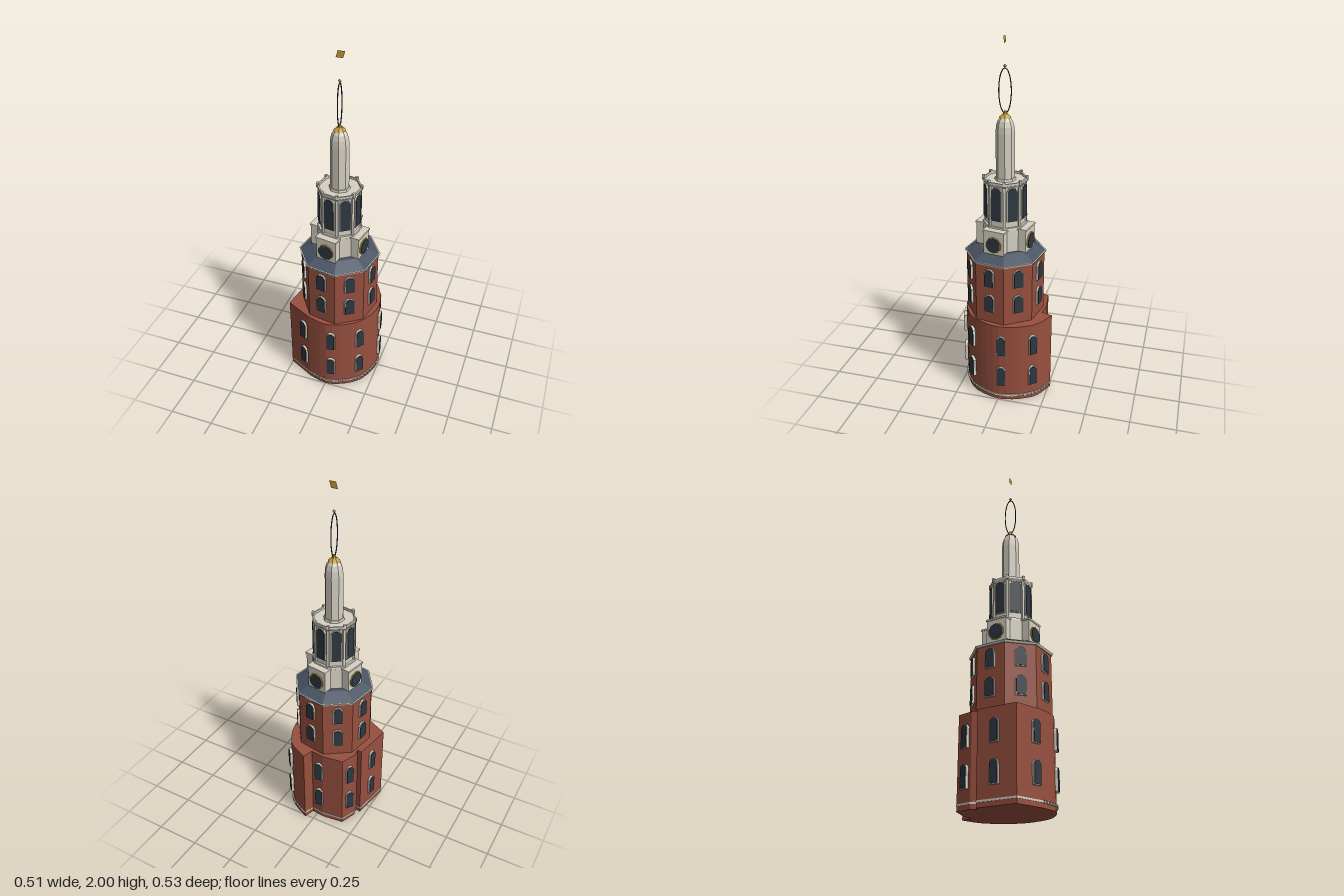
import * as THREE from 'three';

const mat = (color, extra = {}) => new THREE.MeshStandardMaterial({ color, flatShading: true, ...extra });
const BRICK = mat(0x98503f), CREAM = mat(0xd6d1c3), SLATE = mat(0x4a5464),
  PANE = mat(0x2e3842), GOLD = mat(0xc9a03c, { side: THREE.DoubleSide });
const rad = THREE.MathUtils.degToRad;
const CX = 0.01, CZ = 0.02; // tower axis
const FACE = 10;            // direction of one octagon face, from +x towards +z

function add(parent, name, geo, material, x = 0, y = 0, z = 0) {
  const mesh = new THREE.Mesh(geo, material);
  mesh.name = name;
  mesh.position.set(x, y, z);
  parent.add(mesh);
  return mesh;
}

// Octagonal prism or frustum turned to the tower's facing
function octagon(parent, name, rBottom, rTop, y0, y1, material) {
  const geo = new THREE.CylinderGeometry(rTop, rBottom, y1 - y0, 8, 1, false, rad(12.5));
  return add(parent, name, geo, material, 0, (y0 + y1) / 2, 0);
}

// Group whose local +z points outward along the given direction
function facing(parent, name, x, y, z, deg) {
  const g = new THREE.Group();
  g.name = name;
  g.position.set(x, y, z);
  g.rotation.y = Math.PI / 2 - rad(deg);
  parent.add(g);
  return g;
}
const polar = (parent, name, r, y, deg) =>
  facing(parent, name, r * Math.cos(rad(deg)), y, r * Math.sin(rad(deg)), deg);

// Slab with a faceted arched head, centred on its origin
function archGeometry(w, h, depth) {
  const a = w / 2, b = h / 2;
  const pts = [[-a, -b], [a, -b], [a, b - a * 0.75], [a * 0.6, b - a * 0.2], [0, b],
    [-a * 0.6, b - a * 0.2], [-a, b - a * 0.75]];
  const shape = new THREE.Shape(pts.map(p => new THREE.Vector2(...p)));
  return new THREE.ExtrudeGeometry(shape, { depth, bevelEnabled: false }).translate(0, 0, -depth / 2);
}

function archWindow(g, w, h) {
  add(g, 'windowFrame', archGeometry(w + 0.007, h + 0.007, 0.014), CREAM);
  add(g, 'windowPane', archGeometry(w, h, 0.02), PANE);
}

// Prism over a ground outline of [x, z] points
function slab(parent, name, outline, y, height, material) {
  const shape = new THREE.Shape(outline.map(p => new THREE.Vector2(p.x, -p.y)));
  const geo = new THREE.ExtrudeGeometry(shape, { depth: height, bevelEnabled: false }).rotateX(-Math.PI / 2);
  return add(parent, name, geo, material, 0, y, 0);
}

function buildBase(root) {
  const v = ([x, z]) => new THREE.Vector2(x, z);
  // Rounded side, then the angular wall stubs
  const curve = new THREE.SplineCurve([[0.05, -0.26], [0.157, -0.205], [0.207, -0.134], [0.234, -0.065],
    [0.242, 0.02], [0.2, 0.134], [0.14, 0.196], [0.06, 0.237], [-0.007, 0.248], [-0.105, 0.223]].map(v));
  const stubs = [[-0.252, 0.148], [-0.218, -0.068], [-0.19, -0.063], [-0.198, -0.107],
    [-0.164, -0.193], [-0.043, -0.209], [0.03, -0.2]].map(v);
  const outline = [...curve.getSpacedPoints(22), ...stubs];
  slab(root, 'brickBase', outline, 0, 0.48, BRICK);
  slab(root, 'baseBand', outline.map(p => p.clone().multiplyScalar(1.01)), 0.025, 0.01, CREAM);

  // Row of small blocks along the rounded side
  const n = 36;
  for (let i = 0; i < n; i++) {
    const t = (i + 0.5) / n, p = curve.getPointAt(t), d = curve.getTangentAt(t);
    const block = facing(root, 'baseBlock', p.x, 0.03, p.y, THREE.MathUtils.radToDeg(Math.atan2(-d.x, d.y)));
    add(block, 'block', new THREE.BoxGeometry(0.014, 0.014, 0.014), CREAM);
  }

  // x, z and outward direction of each window column
  const columns = [[-0.145, 0.208, 117], [0.037, 0.25, 81], [0.184, 0.168, 41], [0.247, -0.018, -8],
    [0.185, -0.185, -43], [-0.02, -0.213, -97], [-0.186, -0.147, -150], [-0.238, 0.03, 189]];
  for (const [x, z, deg] of columns)
    for (const y of [0.16, 0.36]) archWindow(facing(root, 'baseWindow', x, y, z, deg), 0.042, 0.115);
}

function buildShaft(tower) {
  octagon(tower, 'brickShaft', 0.216, 0.216, 0.47, 0.83, BRICK);
  octagon(tower, 'shaftCornice', 0.222, 0.227, 0.826, 0.838, CREAM);
  octagon(tower, 'slateRoof', 0.221, 0.15, 0.838, 0.875, SLATE);
  for (let i = 0; i < 8; i++)
    for (const y of [0.6, 0.755]) archWindow(polar(tower, 'shaftWindow', 0.203, y, FACE + 45 * i), 0.05, 0.1);
}

function buildClockStage(tower) {
  octagon(tower, 'clockStageCore', 0.125, 0.125, 0.85, 1.0, CREAM);
  for (let i = 0; i < 4; i++) {
    const g = polar(tower, 'clockBay', 0.148, 0, FACE + 90 * i);
    add(g, 'bay', new THREE.BoxGeometry(0.118, 0.15, 0.14), CREAM, 0, 0.925, -0.07);
    add(g, 'bayCap', new THREE.BoxGeometry(0.125, 0.01, 0.14), CREAM, 0, 1.001, -0.066);
    const disc = (r, d) => new THREE.CylinderGeometry(r, r, d, 10).rotateX(Math.PI / 2);
    add(g, 'clockRim', disc(0.047, 0.012), GOLD, 0, 0.925, 0);
    add(g, 'clockFace', disc(0.042, 0.018), PANE, 0, 0.925, 0);
  }
}

function buildLantern(tower) {
  octagon(tower, 'lanternSill', 0.125, 0.122, 0.998, 1.014, CREAM);
  octagon(tower, 'lantern', 0.11, 0.11, 1.01, 1.245, CREAM);
  octagon(tower, 'lanternCornice', 0.114, 0.123, 1.238, 1.252, CREAM);
  for (let i = 0; i < 8; i++) {
    const face = FACE + 45 * i, corner = face + 22.5;
    archWindow(polar(tower, 'lanternWindow', 0.105, 1.145, face), 0.052, 0.185);
    const pier = polar(tower, 'lanternPier', 0.109, 1.128, corner);
    add(pier, 'pier', new THREE.BoxGeometry(0.014, 0.23, 0.014), CREAM);
    const rail = polar(tower, 'parapet', 0.108, 1.258, face);
    add(rail, 'rail', new THREE.BoxGeometry(0.088, 0.012, 0.008), CREAM);
    const post = polar(tower, 'parapetPost', 0.116, 1.262, corner);
    add(post, 'post', new THREE.BoxGeometry(0.014, 0.024, 0.014), CREAM);
  }
}

function buildSpire(tower) {
  octagon(tower, 'spireFoot', 0.058, 0.055, 1.25, 1.265, CREAM);
  const profile = [[0.05, 1.26], [0.05, 1.51], [0.047, 1.545], [0.039, 1.572], [0.026, 1.588], [0, 1.595]];
  const geo = new THREE.LatheGeometry(profile.map(p => new THREE.Vector2(...p)), 8, rad(12.5));
  add(tower, 'domedSpire', geo, CREAM);
  octagon(tower, 'goldSkirt', 0.033, 0.014, 1.588, 1.606, GOLD);
  octagon(tower, 'goldNeck', 0.012, 0.006, 1.606, 1.622, GOLD);

  // Slim open hoop standing in the side plane
  const hoop = [];
  for (let i = 0; i < 24; i++) {
    const a = i / 24 * Math.PI * 2;
    hoop.push(new THREE.Vector3(0, 1.725 + 0.115 * Math.sin(a), 0.033 * Math.cos(a)));
  }
  add(tower, 'hoop', new THREE.TubeGeometry(new THREE.CatmullRomCurve3(hoop, true), 48, 0.003, 5, true), PANE);
  add(tower, 'knob', new THREE.OctahedronGeometry(0.01), GOLD, 0, 1.85, 0);

  // Thin vane above the finial
  const vane = new THREE.Shape([[-0.02, 1.965], [0.017, 1.965], [0.027, 2.0], [-0.01, 2.0]]
    .map(p => new THREE.Vector2(...p)));
  add(tower, 'vane', new THREE.ShapeGeometry(vane), GOLD);
}

export function createModel() {
  const root = new THREE.Group();
  root.name = 'clockTower';
  buildBase(root);
  const tower = new THREE.Group();
  tower.name = 'tower';
  tower.position.set(CX, 0, CZ);
  root.add(tower);
  buildShaft(tower);
  buildClockStage(tower);
  buildLantern(tower);
  buildSpire(tower);
  return root;
}
